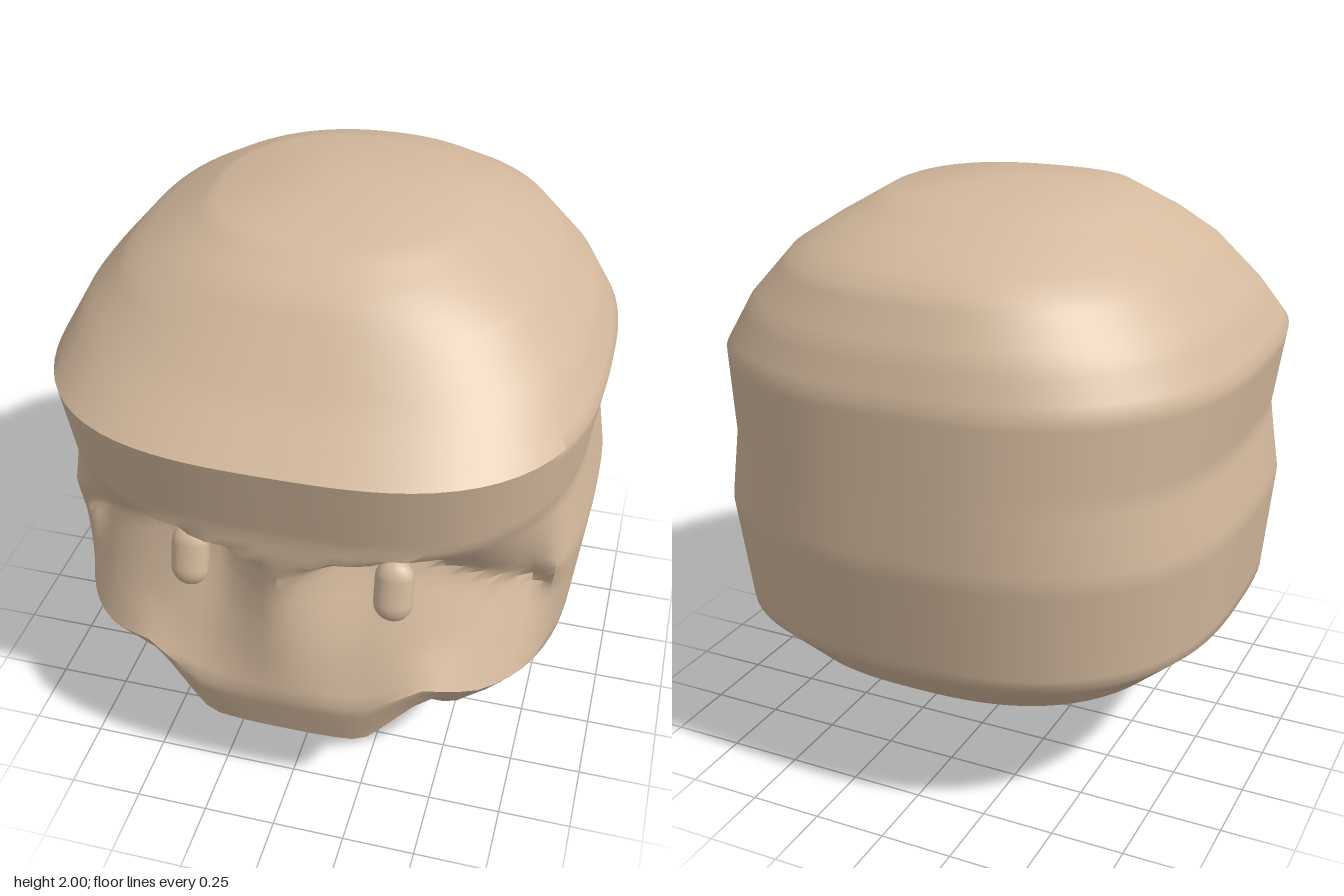
import * as THREE from 'three';
import { mergeVertices, toCreasedNormals } from 'three/addons/utils/BufferGeometryUtils.js';
import { ConvexGeometry } from 'three/addons/geometries/ConvexGeometry.js';

const { lerp, smoothstep, clamp } = THREE.MathUtils;

// Cross-sections of the head: y, half width, front z, back z, squareness
const SECTIONS = [
  [0.44, 0.002, 0.002, 0.002, 3],
  [0.43, 0.62, 0.66, 0.63, 3],
  [0.42, 0.71, 0.84, 0.74, 3],
  [0.57, 0.87, 0.89, 0.88, 3],
  [0.95, 0.91, 0.86, 0.93, 3],
  [1.2, 0.87, 0.87, 0.925, 3],
  [1.48, 0.91, 0.93, 0.92, 2.9],
  [1.63, 0.83, 0.77, 0.87, 2.8],
  [1.79, 0.69, 0.63, 0.78, 2.7],
  [1.87, 0.57, 0.56, 0.65, 2.6],
  [1.97, 0.40, 0.40, 0.38, 2.5],
  [2.0, 0.002, 0.002, 0.002, 2],
];

// Piecewise linear lookup in [x, value] pairs
function along(pairs, x) {
  for (let i = 1; i < pairs.length; i++) {
    const [x0, v0] = pairs[i - 1], [x1, v1] = pairs[i];
    if (x <= x1) return lerp(v0, v1, clamp((x - x0) / (x1 - x0), 0, 1));
  }
  return pairs[pairs.length - 1][1];
}

// Wavy lower edge of the muzzle and cheeks
const MUZZLE_EDGE = [[0, -0.1], [0.27, -0.1], [0.48, 0.1], [0.65, 0.02], [0.9, 0.08]];

// Depth of the eye sockets: slanting brow above, nose ridge between
function socketDepth(x, y) {
  const ax = Math.abs(x);
  const brow = 1.1 + 0.22 * (ax - 0.15);
  const crease = Math.min(1.13 - 0.53 * (ax - 0.25), brow - 0.05);
  const fade = clamp((ax - 0.03) / 0.22, 0, 1) * (1 - smoothstep(ax, 0.74, 0.88));
  const depth = along([[0.56, 0], [crease, 1], [brow, 0]], y);
  return 0.2 * fade * depth;
}

function headGeometry() {
  const N = 96, rows = [];
  SECTIONS.forEach((s, i) => {
    if (i === 0) { rows.push(s); return; }
    const p = SECTIONS[i - 1];
    const steps = Math.max(1, Math.round((s[0] - p[0]) / 0.035));
    for (let k = 1; k <= steps; k++) rows.push(s.map((v, c) => lerp(p[c], v, k / steps)));
  });
  const pos = [], index = [];
  rows.forEach(([y0, halfX, front, back, n], i) => {
    for (let j = 0; j < N; j++) {
      const t = (j / N) * Math.PI * 2, s = Math.sin(t), c = Math.cos(t);
      const e = c < 0 ? n - 0.4 : n;
      const r = 1 / Math.pow(Math.abs(s) ** e + Math.abs(c) ** e, 1 / e);
      const x = halfX * r * s;
      let z = (c > 0 ? front : back) * r * c, y = y0;
      if (z > 0.4 && i > 2) z -= socketDepth(x, y0);
      const low = clamp((0.75 - y0) / 0.33, 0, 1) * smoothstep(z, 0.62, 0.8);
      y += along(MUZZLE_EDGE, Math.abs(x)) * low;
      pos.push(x, y, z);
      if (i) {
        const k = (j + 1) % N, a = (i - 1) * N, b = i * N;
        index.push(a + j, a + k, b + k, a + j, b + k, b + j);
      }
    }
  });
  const g = new THREE.BufferGeometry();
  g.setAttribute('position', new THREE.Float32BufferAttribute(pos, 3));
  g.setIndex(index);
  return toCreasedNormals(g, 0.8);
}

// Faceted lump with softened shading
function lump(points) {
  const g = new ConvexGeometry(points.map((p) => new THREE.Vector3(...p)));
  g.deleteAttribute('normal');
  return toCreasedNormals(mergeVertices(g, 1e-4), 1.0);
}

export function createModel() {
  const group = new THREE.Group();
  const skin = new THREE.MeshStandardMaterial({ color: 0xd4b99d });
  skin.name = 'tan skin';
  const add = (name, geometry) => {
    const mesh = new THREE.Mesh(geometry, skin);
    mesh.name = name;
    group.add(mesh);
    return mesh;
  };

  add('head', headGeometry());

  // Eyes resting in the sockets
  for (const side of [1, -1]) {
    const eye = add(side > 0 ? 'leftEye' : 'rightEye', new THREE.CapsuleGeometry(0.065, 0.09, 6, 16));
    eye.scale.z = 0.7;
    eye.position.set(side * 0.345, 0.93, 0.715);
    eye.rotation.x = -0.25;
  }

  // Small crooked jaw under the head, with a neck stump behind it
  add('jaw', lump([
    [-0.48, 0.45, 0.25], [-0.45, 0.26, 0.35], [-0.3, 0.36, 0.53], [0, 0.005, 0.45],
    [0.12, 0.1, 0.5], [0.05, 0.24, 0.645], [-0.05, 0.14, 0.61], [0.1, 0.38, 0.5],
    [0.13, 0.45, 0.3], [0.06, 0.12, 0.22], [-0.2, 0.25, 0.18], [-0.3, 0.45, 0.15],
  ]));
  add('neck', lump([
    [0.1, 0.15, 0.35], [0.29, 0.22, 0.3], [0.36, 0.34, 0.2], [0.34, 0.46, 0.05],
    [-0.2, 0.46, -0.08], [0.2, 0.46, -0.12], [0, 0.13, 0.22], [-0.15, 0.3, 0.2],
    [0.1, 0.45, 0.4],
  ]));
  return group;
}
